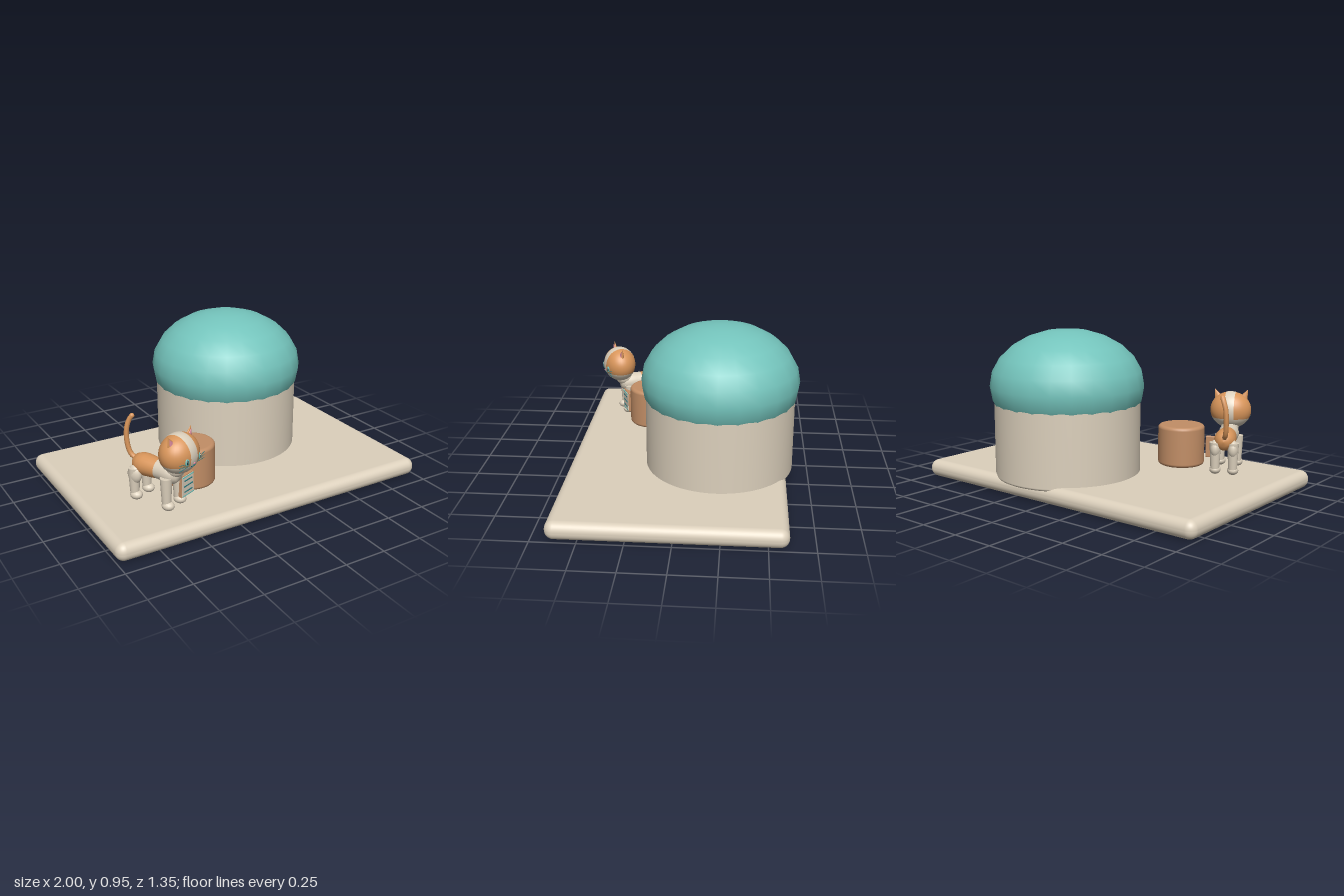
import * as THREE from 'three';
import { RoundedBoxGeometry } from 'three/addons/geometries/RoundedBoxGeometry.js';

const mat = (name, color, side = THREE.FrontSide) => {
  const m = new THREE.MeshStandardMaterial({ color, side });
  m.name = name;
  return m;
};

export function createModel() {
  const cream = mat('cream', 0xdcd0bc);
  const teal = mat('teal', 0x74c4bc);
  const wood = mat('wood', 0xc28e66);
  const orange = mat('orange fur', 0xd8955a);
  const pink = mat('pink', 0xd98a9c);
  const darkTeal = mat('dark teal', 0x2c7f86);
  const dark = mat('dark', 0x24383c);

  const model = new THREE.Group();
  const add = (parent, name, geo, material, x = 0, y = 0, z = 0) => {
    const m = new THREE.Mesh(geo, material);
    m.name = name;
    m.position.set(x, y, z);
    parent.add(m);
    return m;
  };

  // Upright drum with rounded rims
  const drum = (r, h, bevel, sides) => {
    const p = [new THREE.Vector2(0, 0), new THREE.Vector2(r - bevel - 0.002, 0)];
    for (let i = 0; i <= 5; i++) {
      const a = (i / 5) * Math.PI / 2;
      p.push(new THREE.Vector2(r - bevel + bevel * Math.sin(a), bevel - bevel * Math.cos(a)));
    }
    for (let i = 0; i <= 5; i++) {
      const a = (i / 5) * Math.PI / 2;
      p.push(new THREE.Vector2(r - bevel + bevel * Math.cos(a), h - bevel + bevel * Math.sin(a)));
    }
    p.push(new THREE.Vector2(r - bevel - 0.002, h), new THREE.Vector2(0, h));
    return new THREE.LatheGeometry(p, sides);
  };
  const tube = (pts, r, n = 16) => new THREE.TubeGeometry(
    new THREE.CatmullRomCurve3(pts.map(p => new THREE.Vector3(...p))), n, r, 8);

  // Base, trunk, crown and stool
  add(model, 'baseSlab', new RoundedBoxGeometry(2, 0.106, 1.285, 5, 0.05), cream, 0, 0.053, 0.0325);
  add(model, 'trunk', drum(0.435, 0.5, 0.015, 64), cream, 0.165, 0.08, -0.215);
  add(model, 'crown', new THREE.SphereGeometry(1, 24, 12).scale(0.46, 0.335, 0.46), teal, 0.165, 0.62, -0.215);
  add(model, 'stool', drum(0.14, 0.243, 0.02, 40), wood, -0.345, 0.13, 0.245);

  // Cat, turned a little to its left
  const cat = new THREE.Group();
  cat.name = 'cat';
  cat.position.set(-0.61, 0, 0.335);
  cat.rotation.y = 0.42;
  model.add(cat);

  // Body sections along z, as [radius, z]
  const section = pts => new THREE.LatheGeometry(pts.map(p => new THREE.Vector2(...p)), 24).rotateX(Math.PI / 2);
  add(cat, 'rump', section([[0, -0.155], [0.028, -0.15], [0.05, -0.132], [0.062, -0.1],
    [0.064, -0.065], [0.06, -0.02], [0.056, 0.02]]), orange, 0, 0.315, 0);
  add(cat, 'chest', section([[0.056, 0.02], [0.057, 0.06], [0.062, 0.1], [0.056, 0.135],
    [0.035, 0.158], [0, 0.165]]), cream, 0, 0.315, 0);
  add(cat, 'neck', new THREE.SphereGeometry(0.055, 20, 14), cream, 0, 0.355, 0.135);

  // Legs and paws
  for (const s of [-1, 1]) {
    for (const z of [-0.115, 0.11]) {
      const back = z < 0;
      const x = s * 0.052;
      add(cat, back ? 'backLeg' : 'frontLeg', new THREE.CylinderGeometry(0.034, 0.025, 0.17, 18), cream, x, 0.22, z);
      add(cat, 'paw', new THREE.SphereGeometry(1, 18, 12).scale(0.033, 0.027, 0.038), cream, x, 0.14, z + 0.01);
      if (back) add(cat, 'haunch', new THREE.SphereGeometry(1, 18, 14).scale(0.032, 0.055, 0.045), cream, x, 0.265, z + 0.005);
    }
  }

  // Tail
  add(cat, 'tail', tube([[0, 0.33, -0.13], [-0.012, 0.36, -0.168], [-0.018, 0.43, -0.188],
    [-0.014, 0.51, -0.19], [0, 0.56, -0.18], [0.008, 0.58, -0.168]], 0.0145, 30), orange);
  add(cat, 'tailTip', new THREE.SphereGeometry(0.0145, 12, 8), orange, 0.008, 0.58, -0.168);

  // Head: orange cap, cream muzzle and a cream blaze over the crown
  const head = new THREE.Group();
  head.name = 'head';
  head.position.set(0, 0.45, 0.163);
  cat.add(head);
  const R = [0.124, 0.112, 0.103];
  const split = 1.98;
  add(head, 'headCap', new THREE.SphereGeometry(1, 36, 20, 0, Math.PI * 2, 0, split).scale(...R), orange);
  add(head, 'muzzle', new THREE.SphereGeometry(1, 36, 12, 0, Math.PI * 2, split, Math.PI - split).scale(...R), cream);
  add(head, 'blaze', new THREE.SphereGeometry(1.012, 40, 6, -split, split * 2, Math.PI / 2 - 0.23, 0.46)
    .rotateZ(-Math.PI / 2).scale(...R), cream);

  // Lift a face detail on to the head surface
  const onFace = (x, y, lift = 0.002) => R[2] * Math.sqrt(1 - (x / R[0]) ** 2 - (y / R[1]) ** 2) + lift;
  const disc = (w, h) => new THREE.SphereGeometry(1, 16, 10).scale(w, h, 0.004);
  for (const s of [-1, 1]) {
    // Eyes
    const eye = new THREE.Group();
    eye.name = 'eye';
    eye.position.set(s * 0.053, -0.012, onFace(0.053, -0.012));
    eye.rotation.y = s * 0.42;
    head.add(eye);
    add(eye, 'iris', disc(0.013, 0.02), teal);
    add(eye, 'pupil', disc(0.006, 0.014), dark, 0, 0, 0.002);
    add(eye, 'glint', disc(0.003, 0.004), cream, -0.004, 0.007, 0.004);

    // Ears
    const ear = new THREE.Group();
    ear.name = 'ear';
    ear.position.set(s * 0.083, 0.088, 0.004);
    ear.rotation.z = -s * 0.42;
    head.add(ear);
    add(ear, 'outerEar', new THREE.ConeGeometry(0.037, 0.085, 20).scale(1, 1, 0.5), orange);
    add(ear, 'innerEar', new THREE.ConeGeometry(0.027, 0.066, 20).scale(1, 1, 0.5), pink, 0, -0.005, 0.008);

    // Whiskers and mouth
    for (let i = -1; i <= 1; i++) {
      add(head, 'whisker', tube([[s * 0.04, -0.035 + i * 0.008, 0.089], [s * 0.075, -0.032 + i * 0.012, 0.088],
        [s * 0.112, -0.031 + i * 0.018, 0.083]], 0.0016, 6), darkTeal);
    }
    add(head, 'mouth', tube([[0, -0.04], [s * 0.007, -0.051], [s * 0.016, -0.05], [s * 0.022, -0.042]]
      .map(([x, y]) => [x, y, onFace(x, y)]), 0.002, 8), darkTeal);
  }
  add(head, 'nose', disc(0.009, 0.006), pink, 0, -0.033, onFace(0, -0.033, 0.003));

  // Small sign board beside the front paw
  const sign = new THREE.Group();
  sign.name = 'sign';
  sign.position.set(0.088, 0.218, 0.14);
  cat.add(sign);
  add(sign, 'signBoard', new RoundedBoxGeometry(0.112, 0.132, 0.026, 2, 0.005), wood, 0, 0, -0.006);
  add(sign, 'signPanel', new THREE.BoxGeometry(0.1, 0.118, 0.006), cream, 0, 0, 0.009);
  for (let i = -1; i <= 1; i++) {
    add(sign, 'signStripe', new THREE.BoxGeometry(i ? 0.07 : 0.08, 0.007, 0.004), darkTeal, 0, i * 0.033, 0.012);
  }
  for (const y of [-0.056, 0.056]) {
    add(sign, 'signBorder', new THREE.BoxGeometry(0.1, 0.006, 0.004), teal, 0, y, 0.012);
  }
  return model;
}
